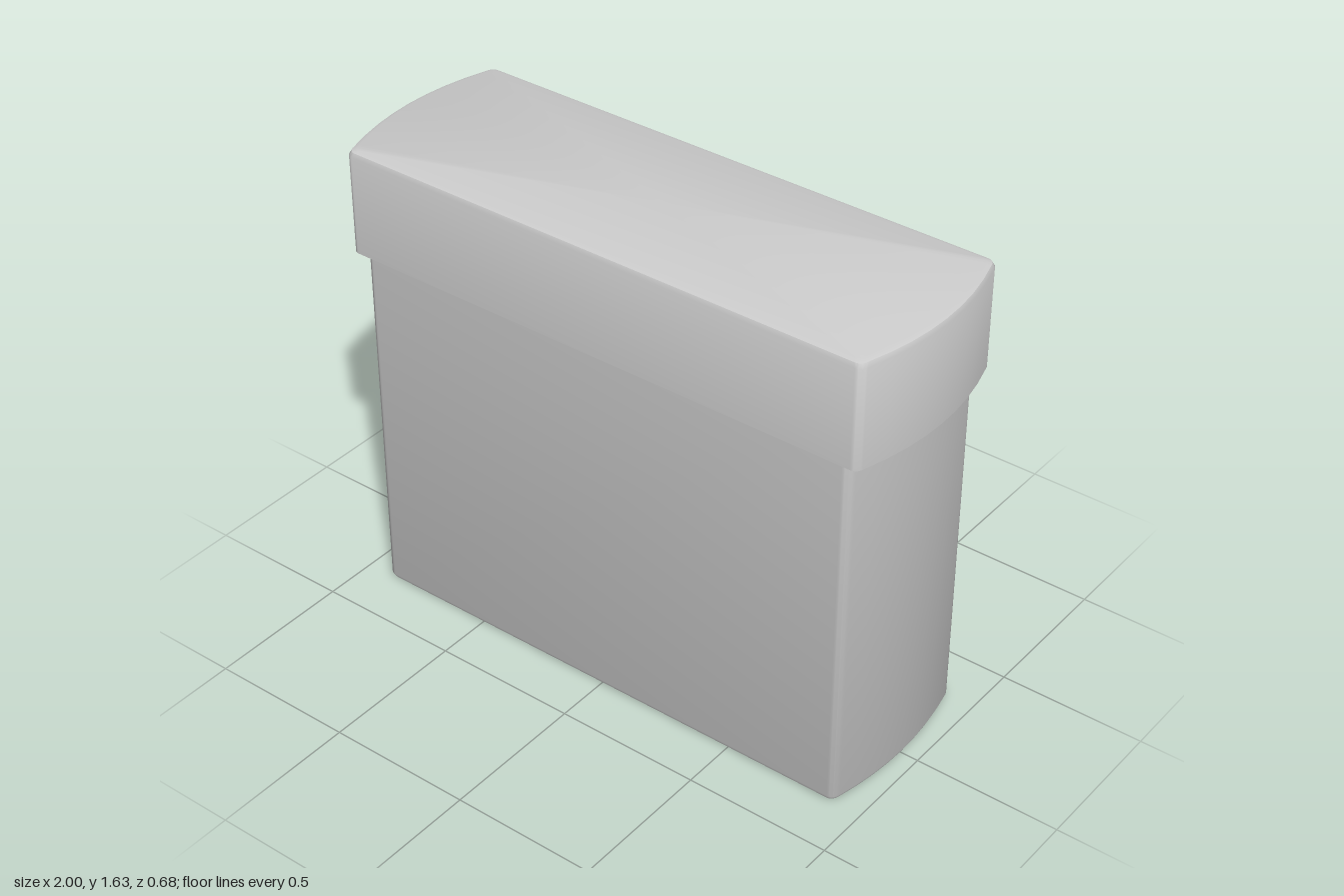
import * as THREE from 'three';
import { toCreasedNormals } from 'three/addons/utils/BufferGeometryUtils.js';

const material = new THREE.MeshStandardMaterial({ color: 0xcccccc });

// Plan outline (x, z): flat front and back, softly bulging ends, rounded corners.
function outline({ flat, corner, width, depth, round }) {
  const z = depth - round;
  const bulge = 2 * width - corner;
  const shape = new THREE.Shape();
  shape.moveTo(flat, -depth);
  shape.quadraticCurveTo(corner - 0.006, -depth, corner, -z);
  shape.quadraticCurveTo(bulge, 0, corner, z);
  shape.quadraticCurveTo(corner - 0.006, depth, flat, depth);
  shape.lineTo(-flat, depth);
  shape.quadraticCurveTo(-corner + 0.006, depth, -corner, z);
  shape.quadraticCurveTo(-bulge, 0, -corner, -z);
  shape.quadraticCurveTo(-corner + 0.006, -depth, -flat, -depth);
  return shape.getPoints(8);
}

// Stacks inset copies of the outline; rings are [y, inset] from bottom to top.
// openBack is the index of the ring band whose flat back is left out.
function loft(plan, rings, openBack = -1) {
  const points = outline(plan);
  const n = points.length;
  const at = ([y, inset], j) => {
    const p = points[j % n];
    return [p.x * (1 - inset / plan.width), y, p.y * (1 - inset / plan.depth)];
  };
  const positions = [];
  const add = (...corners) => corners.forEach((c) => positions.push(...c));
  const first = rings[0];
  const last = rings[rings.length - 1];
  for (let j = 0; j < n; j++) {
    for (let k = 0; k < rings.length - 1; k++) {
      if (k === openBack && j === n - 1) continue;
      const a = at(rings[k], j), b = at(rings[k + 1], j);
      const c = at(rings[k], j + 1), d = at(rings[k + 1], j + 1);
      add(a, b, c, c, b, d);
    }
    add([0, first[0], 0], at(first, j), at(first, j + 1));
    add([0, last[0], 0], at(last, j + 1), at(last, j));
  }
  const geometry = new THREE.BufferGeometry();
  geometry.setAttribute('position', new THREE.Float32BufferAttribute(positions, 3));
  return toCreasedNormals(geometry, 0.7);
}

// Twelve-sided round opening running down into a straight slot.
function keyholePoints() {
  const points = [];
  for (let i = -1; i <= 7; i++) {
    const angle = (i * Math.PI) / 6;
    points.push(new THREE.Vector2(0.343 * Math.cos(angle), 0.82 + 0.343 * Math.sin(angle)));
  }
  const slot = [[-0.148, 0.53], [-0.148, 0.185], [0.148, 0.185], [0.148, 0.53]];
  return points.concat(slot.map(([x, y]) => new THREE.Vector2(x, y)));
}

export function createModel() {
  const group = new THREE.Group();
  const addMesh = (name, geometry) => {
    const mesh = new THREE.Mesh(geometry, material);
    mesh.name = name;
    group.add(mesh);
    return mesh;
  };

  // Body with a rounded bottom edge
  const body = { flat: 0.88, corner: 0.91, width: 0.945, depth: 0.32, round: 0.03 };
  const bodyTop = 1.4;
  const edge = 0.02;
  addMesh('body', loft(body, [[0, edge], [0.006, 0.006], [edge, 0], [bodyTop, 0]], 2));

  // Back panel pierced by the keyhole
  const recess = 0.145;
  const panel = new THREE.Shape([
    new THREE.Vector2(-body.flat, edge), new THREE.Vector2(body.flat, edge),
    new THREE.Vector2(body.flat, bodyTop), new THREE.Vector2(-body.flat, bodyTop),
  ]);
  panel.holes.push(new THREE.Path(keyholePoints()));
  const panelGeometry = new THREE.ExtrudeGeometry(panel, { depth: recess, bevelEnabled: false });
  addMesh('backPanel', panelGeometry).position.z = -body.depth;

  // Floor of the keyhole recess, facing the back
  const floor = addMesh('keyholeFloor', new THREE.ShapeGeometry(new THREE.Shape(keyholePoints())));
  floor.rotation.y = Math.PI;
  floor.position.z = -body.depth + recess;

  // Overhanging lid with a rounded top edge
  const lid = { flat: 0.92, corner: 0.95, width: 1, depth: 0.34, round: 0.03 };
  addMesh('lid', loft(lid, [[1.275, 0], [1.615, 0], [1.629, 0.006], [1.635, 0.02]]));

  return group;
}
